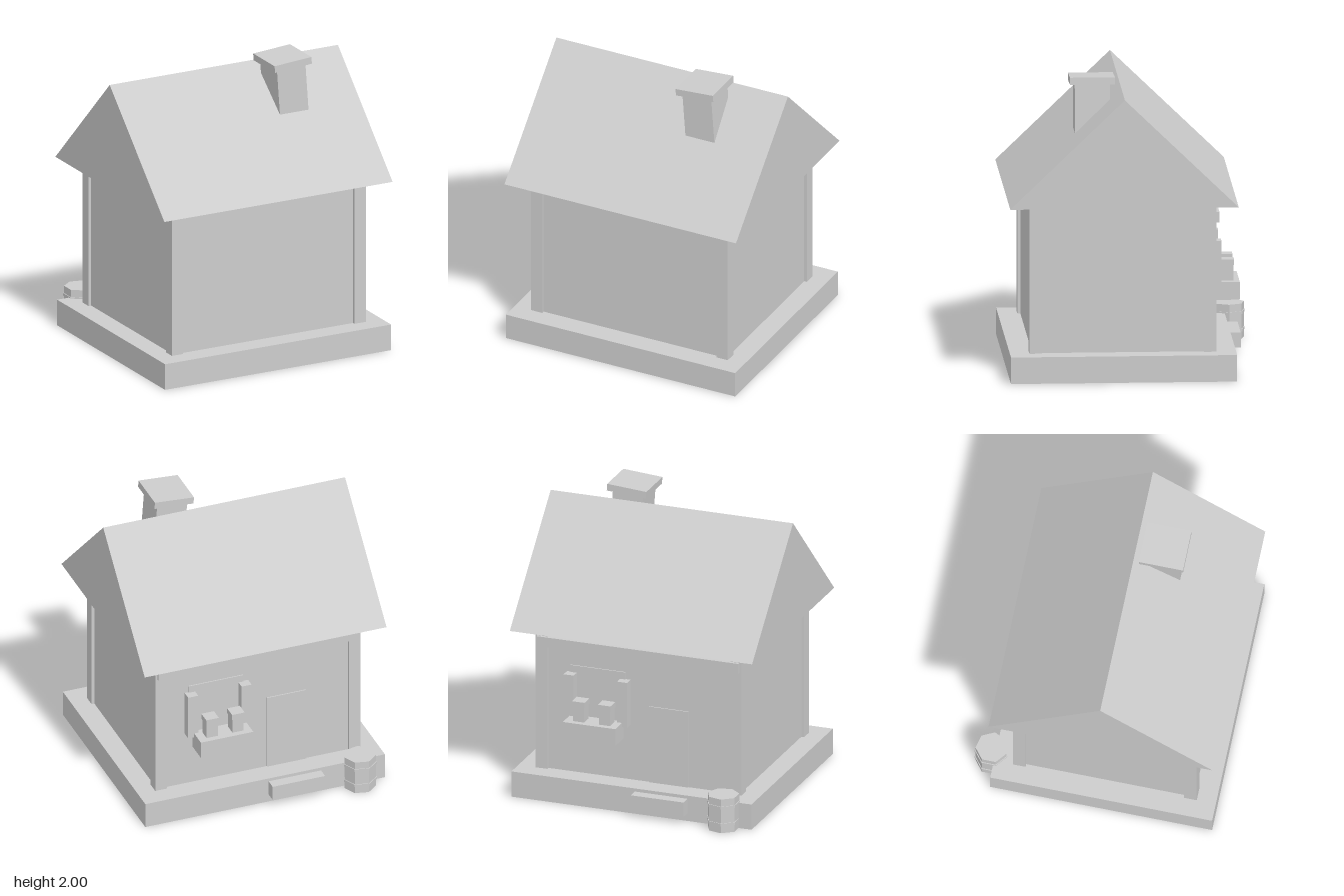
import * as THREE from 'three';

const grey = new THREE.MeshStandardMaterial({ color: 0xcccccc, side: THREE.DoubleSide });
grey.name = 'plain grey';

export function createModel() {
  const house = new THREE.Group();
  house.name = 'house';

  const add = (name, geometry, parent = house) => {
    const mesh = new THREE.Mesh(geometry, grey);
    mesh.name = name;
    parent.add(mesh);
    return mesh;
  };

  // Box given by its limits on each axis; open leaves out the bottom face
  const box = (name, [x0, x1], [y0, y1], [z0, z1], open = false, parent = house) => {
    const g = new THREE.BoxGeometry(x1 - x0, y1 - y0, z1 - z0);
    if (open) {
      const index = Array.from(g.index.array);
      index.splice(18, 6);
      g.setIndex(index);
      g.clearGroups();
    }
    g.translate((x0 + x1) / 2, (y0 + y1) / 2, (z0 + z1) / 2);
    return add(name, g, parent);
  };

  // Hollow base, walls and corner posts
  box('base', [-0.857, 0.857], [0, 0.18], [-0.69, 0.82], true);
  box('walls', [-0.715, 0.715], [0.17, 1.19], [-0.54, 0.67], true);
  for (const x of [-0.735, 0.65])
    for (const z of [-0.56, 0.605])
      box('cornerPost', [x, x + 0.085], [0.16, 1.19], [z, z + 0.085], true);

  // Gabled roof, ridge along x
  const gable = new THREE.Shape([
    new THREE.Vector2(-0.825, 1.185),
    new THREE.Vector2(0.7, 1.185),
    new THREE.Vector2(-0.06, 1.92),
  ]);
  const roof = new THREE.ExtrudeGeometry(gable, { depth: 1.73, bevelEnabled: false });
  roof.translate(0, 0, -0.865);
  roof.rotateY(Math.PI / 2);
  add('roof', roof);

  // Leaning chimney with a cap
  const chimney = new THREE.Group();
  chimney.name = 'chimney';
  chimney.position.set(0.342, 1.943, 0.253);
  chimney.rotation.z = 0.072;
  house.add(chimney);
  box('chimneyStack', [-0.108, 0.108], [-0.46, 0], [-0.118, 0.118], false, chimney);
  box('chimneyCap', [-0.14, 0.14], [0, 0.048], [-0.15, 0.15], false, chimney);

  // Back wall: beam, door and step
  box('beam', [-0.72, 0.72], [1.055, 1.125], [-0.58, -0.53]);
  box('door', [-0.35, -0.07], [0.18, 0.72], [-0.548, -0.539]);
  box('step', [-0.4, -0.025], [0.055, 0.158], [-0.765, -0.565], true);

  // Window with shutters, flower box and pots
  box('window', [0.1, 0.49], [0.55, 0.94], [-0.548, -0.539]);
  for (const x of [0.063, 0.445])
    box('shutter', [x, x + 0.072], [0.57, 0.89], [-0.605, -0.54]);
  box('flowerBox', [0.1, 0.475], [0.48, 0.6], [-0.73, -0.575], true);
  for (const x of [0.193, 0.378]) {
    box('pot', [x - 0.04, x + 0.04], [0.59, 0.705], [-0.69, -0.61]);
    box('potRim', [x - 0.045, x + 0.045], [0.705, 0.743], [-0.695, -0.605]);
  }

  // Seven-sided barrel with two hoops
  const barrel = new THREE.Group();
  barrel.name = 'barrel';
  barrel.position.set(-0.666, 0, -0.719);
  house.add(barrel);
  const ring = (name, radius, height, y, open) => {
    let g = new THREE.CylinderGeometry(radius, radius, height, 7, 1, open, Math.PI / 2);
    g = g.toNonIndexed();
    g.computeVertexNormals();
    g.translate(0, y, 0);
    add(name, g, barrel);
  };
  ring('barrelBody', 0.108, 0.24, 0.12, false);
  for (const y of [0.06, 0.18]) ring('barrelHoop', 0.114, 0.018, y, false);

  return house;
}
